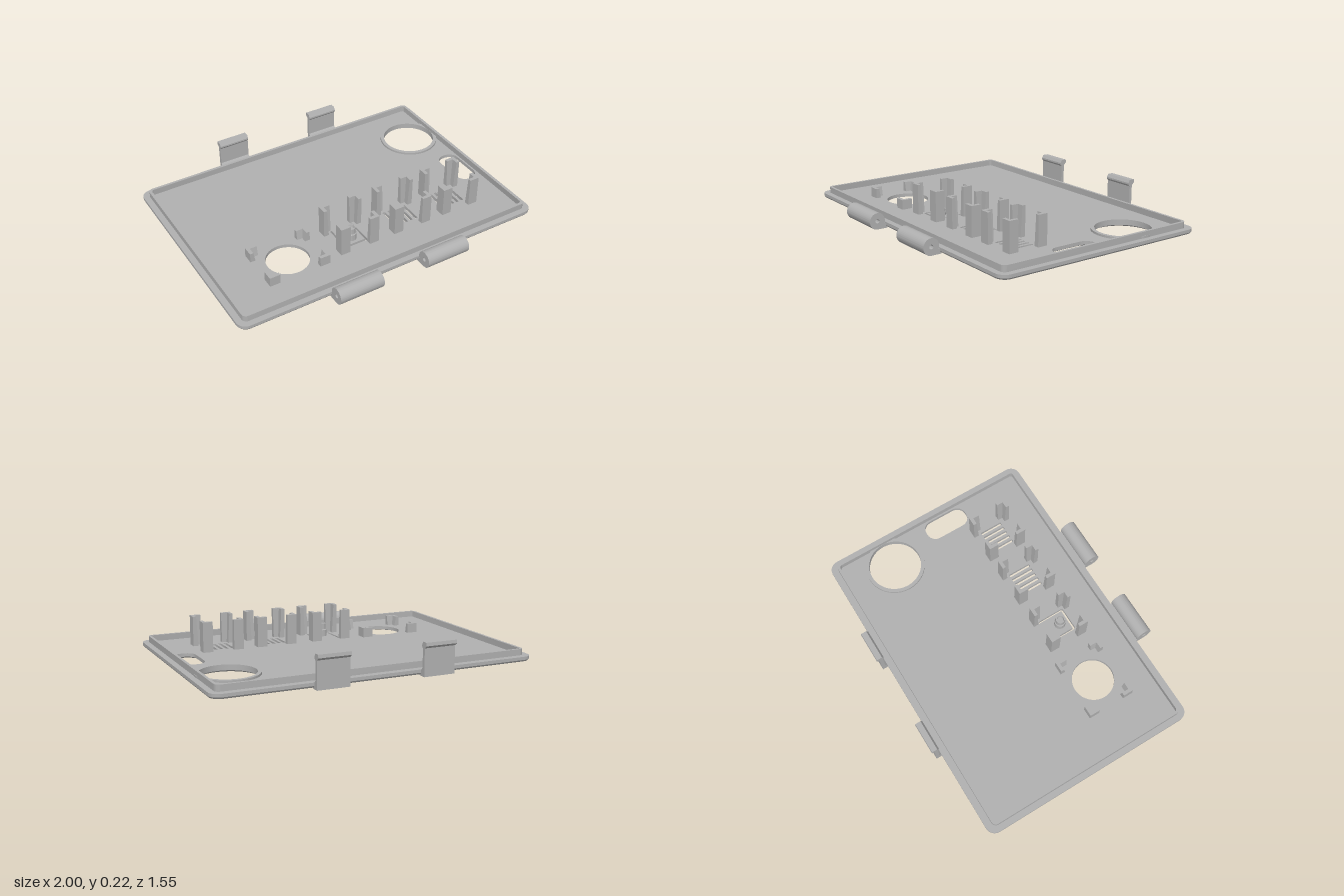
import * as THREE from 'three';
import { mergeGeometries, toCreasedNormals } from 'three/addons/utils/BufferGeometryUtils.js';

const FLOOR = 0.037, STEP = 0.016, BASE = 0.004;

// Rounded rectangle contour in the x-z plane (a circle when r = hw = hh)
function ring(cx, cz, hw, hh, r, n = 10) {
  const pts = [];
  [[1, 1], [-1, 1], [-1, -1], [1, -1]].forEach(([sx, sz], q) => {
    for (let i = 0; i <= n; i++) {
      const a = (q + i / n) * Math.PI / 2;
      pts.push(new THREE.Vector2(cx + sx * (hw - r) + r * Math.cos(a), cz + sz * (hh - r) + r * Math.sin(a)));
    }
  });
  return pts;
}

// Flat horizontal face with holes
function face(outer, holes, y, up) {
  const conv = c => c.map(p => new THREE.Vector2(p.x, up ? -p.y : p.y));
  const shape = new THREE.Shape(conv(outer));
  shape.holes = holes.map(h => new THREE.Path(conv(h)));
  const g = new THREE.ShapeGeometry(shape).rotateX(up ? -Math.PI / 2 : Math.PI / 2).translate(0, y, 0).toNonIndexed();
  g.deleteAttribute('uv');
  return g;
}

// Wall joining a lower contour to an upper one
function wall(a, ya, b, yb, inward = false) {
  const pos = [];
  a.forEach((_, i) => {
    const j = (i + 1) % a.length;
    const A = [a[i].x, ya, a[i].y], B = [a[j].x, ya, a[j].y];
    const C = [b[i].x, yb, b[i].y], D = [b[j].x, yb, b[j].y];
    if (inward) pos.push(...A, ...B, ...C, ...C, ...B, ...D);
    else pos.push(...A, ...C, ...B, ...C, ...D, ...B);
  });
  const g = new THREE.BufferGeometry();
  g.setAttribute('position', new THREE.Float32BufferAttribute(pos, 3));
  g.computeVertexNormals();
  return toCreasedNormals(g, 0.5);
}

export function createModel() {
  const model = new THREE.Group();
  const grey = new THREE.MeshStandardMaterial({ color: 0xb0b0b0 });
  grey.name = 'grey plastic';
  const add = (name, geo, parent = model) => {
    const m = new THREE.Mesh(geo, grey);
    m.name = name;
    parent.add(m);
    return m;
  };

  // Panel: topHoles pierce the floor, bottomHoles are their flared mouths underneath
  const parts = [], topHoles = [], bottomHoles = [];
  const opening = (cx, cz, hw, hh, r, flare) => {
    const inner = ring(cx, cz, hw, hh, r), outer = ring(cx, cz, hw + flare, hh + flare, r + flare);
    topHoles.push(inner);
    bottomHoles.push(outer);
    parts.push(wall(outer, BASE, inner, STEP, true), wall(inner, STEP, inner, FLOOR, true));
  };
  opening(0.78, -0.355, 0.165, 0.165, 0.165, 0.023);
  opening(0.868, 0.073, 0.067, 0.144, 0.06, 0.025);
  opening(-0.513, 0.302, 0.13, 0.13, 0.13, 0.045);

  // Shallow square pocket underneath, with cut-outs through its ceiling
  const pocket = (cx, cz, cuts) => {
    const mouth = ring(cx, cz, 0.105, 0.105, 0.02), top = ring(cx, cz, 0.094, 0.094, 0.015);
    bottomHoles.push(mouth);
    topHoles.push(...cuts);
    parts.push(wall(mouth, BASE, top, STEP, true), face(top, cuts, STEP, false));
    cuts.forEach(c => parts.push(wall(c, STEP, c, FLOOR, true)));
  };
  [0.267, 0.613].forEach(cx => {
    const slits = [-2, -1, 0, 1, 2].map(i => ring(cx + i * 0.035, 0.302, 0.009, 0.073, 0.002, 2));
    pocket(cx, 0.302, slits);
  });
  pocket(-0.1, 0.304, [ring(-0.1, 0.304, 0.078, 0.089, 0.012)]);

  const edge = ring(0, -0.026, 1, 0.696, 0.06);
  const edgeLow = ring(0, -0.026, 0.994, 0.69, 0.056);
  const edgeBase = ring(0, -0.026, 0.98, 0.676, 0.045);
  parts.push(
    wall(edgeBase, BASE, edgeLow, 0.009), wall(edgeLow, 0.009, edge, 0.018), wall(edge, 0.018, edge, FLOOR),
    face(edge, topHoles, FLOOR, true), face(edgeBase, bottomHoles, BASE, false));
  add('panel', mergeGeometries(parts));

  // Raised lips on the floor
  const lip = (name, o, i, h) => add(name, mergeGeometries([
    wall(o, FLOOR, o, h), wall(i, FLOOR, i, h, true), face(o, [i], h, true)]));
  lip('rim', ring(0, -0.023, 0.963, 0.657, 0.03), ring(0, -0.023, 0.946, 0.64, 0.015), 0.075);
  lip('holeCollar', ring(0.78, -0.355, 0.187, 0.187, 0.187), ring(0.78, -0.355, 0.165, 0.165, 0.165), 0.05);

  // Corner brackets: tapered L-shaped posts
  const bracketSet = (name, cx, cz, hw, hh, len, height) => {
    const set = new THREE.Group();
    set.name = name;
    model.add(set);
    for (const sx of [-1, 1]) for (const sz of [-1, 1]) {
      const ell = t => {
        const p = [[0, 0], [len, 0], [len, t], [t, t], [t, len], [0, len]]
          .map(([u, v]) => new THREE.Vector2(cx + sx * (hw - u), cz + sz * (hh - v)));
        return sx * sz < 0 ? p.reverse() : p;
      };
      const low = ell(0.032), high = ell(0.021);
      add('cornerPost', mergeGeometries([wall(low, FLOOR, high, height), face(high, [], height, true)]), set);
    }
  };
  bracketSet('shortBrackets', -0.513, 0.304, 0.196, 0.153, 0.066, 0.097);
  [-0.102, 0.267, 0.617].forEach(x => bracketSet('tallBrackets', x, 0.306, 0.129, 0.129, 0.062, 0.222));

  // Flexing push button with hollow-tipped peg
  add('buttonTongue', new THREE.BoxGeometry(0.132, FLOOR - 0.01, 0.163)).position.set(-0.1, (FLOOR + 0.01) / 2, 0.2965);
  const peg = [[0.035, 0], [0.034, 0.04], [0.029, 0.045], [0.028, 0.08], [0.022, 0.08], [0.019, 0.065], [0, 0.065]];
  const pegGeo = new THREE.LatheGeometry(peg.map(([r, y]) => new THREE.Vector2(r, y)), 32);
  add('buttonPeg', toCreasedNormals(pegGeo, 0.5)).position.set(-0.1, FLOOR, 0.325);

  // Profiles are drawn as (-z, y) and swept along x
  const sweep = (shape, x0, x1) => toCreasedNormals(
    new THREE.ExtrudeGeometry(shape, { depth: x1 - x0, bevelEnabled: false, curveSegments: 32 })
      .rotateY(Math.PI / 2).translate(x0, 0, 0), 0.5);

  // Hinge knuckles on the front edge
  const knuckle = new THREE.Shape();
  knuckle.moveTo(-0.66, 0.03);
  knuckle.lineTo(-0.66, 0);
  knuckle.lineTo(-0.725, 0);
  knuckle.absarc(-0.725, 0.05, 0.05, -Math.PI / 2, -Math.PI * 2 - 0.41, true);
  const bore = new THREE.Path();
  bore.absarc(-0.725, 0.05, 0.013, 0, Math.PI * 2, false);
  knuckle.holes.push(bore);
  [[-0.44, -0.155], [0.147, 0.432]].forEach(([a, b]) => add('hingeKnuckle', sweep(knuckle, a, b)));

  // Snap clips on the back edge
  const clip = new THREE.Shape([
    [0.69, 0.005], [0.71, 0], [0.757, 0], [0.757, 0.165], [0.775, 0.18], [0.772, 0.2], [0.738, 0.2],
    [0.727, 0.182], [0.727, 0.172], [0.736, 0.16], [0.736, 0.05], [0.722, 0.036], [0.69, 0.036],
  ].map(([u, v]) => new THREE.Vector2(u, v)));
  [[-0.43, -0.233], [0.228, 0.425]].forEach(([a, b]) => add('snapClip', sweep(clip, a, b)));

  return model;
}
